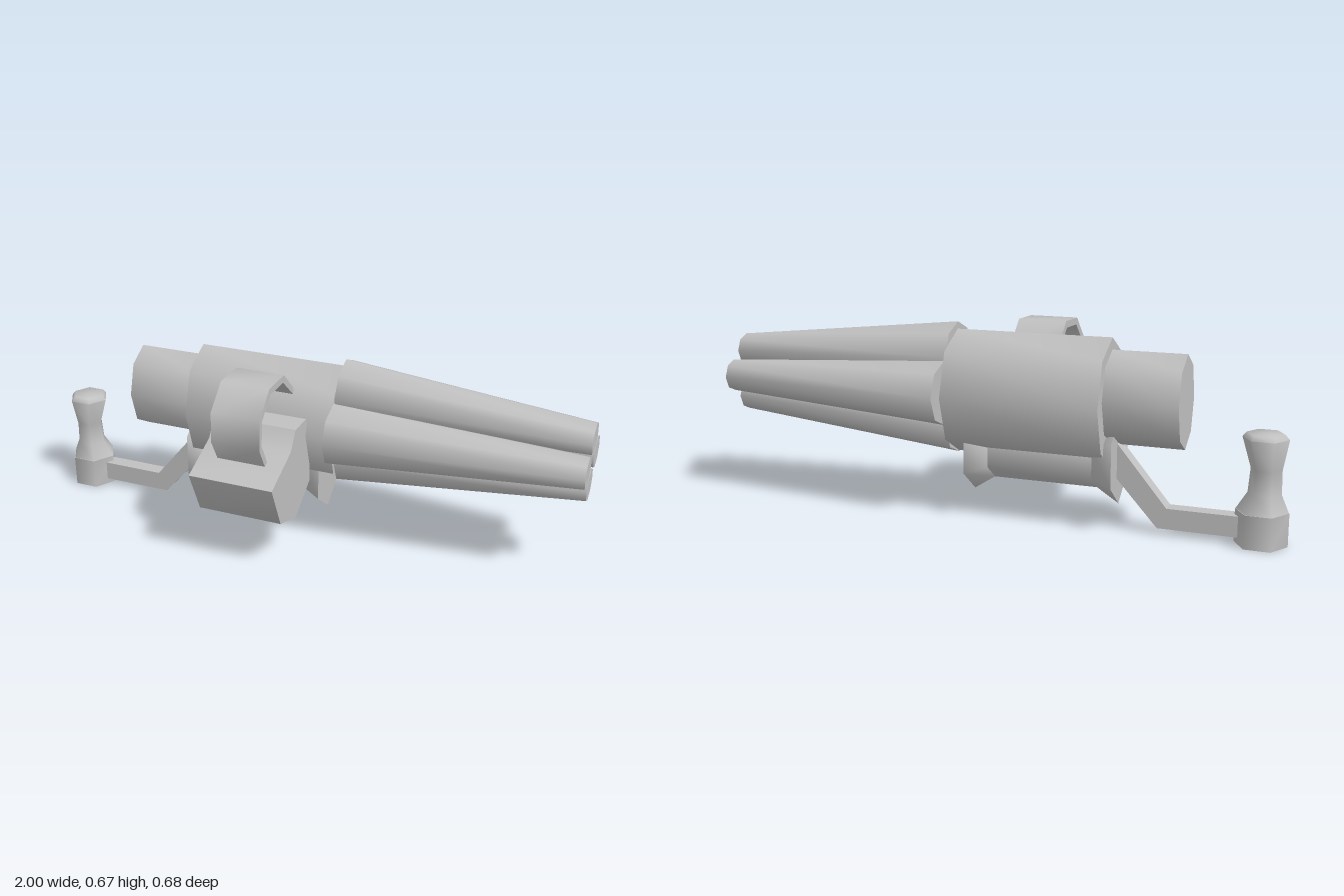
import * as THREE from 'three';
import { toCreasedNormals } from 'three/addons/utils/BufferGeometryUtils.js';

const AXIS_Y = 0.438, AXIS_Z = -0.11;

export function createModel() {
  const model = new THREE.Group();
  const grey = new THREE.MeshStandardMaterial({ color: 0xc0c0c0 });
  grey.name = 'plain grey';

  function add(name, geometry, crease = 1.2) {
    const mesh = new THREE.Mesh(toCreasedNormals(geometry, crease), grey);
    mesh.name = name;
    model.add(mesh);
    return mesh;
  }

  // Prism along x between two elliptical sections {x, y, z, ry, rz}, a corner at the top
  function prism(sides, a, b, open = false) {
    const g = new THREE.CylinderGeometry(1, 1, 1, sides, 1, open, Math.PI / 2).rotateZ(-Math.PI / 2);
    const p = g.attributes.position;
    const mix = THREE.MathUtils.lerp;
    for (let i = 0; i < p.count; i++) {
      const t = p.getX(i) + 0.5;
      p.setXYZ(i, mix(a.x, b.x, t),
        mix(a.y, b.y, t) + p.getY(i) * mix(a.ry, b.ry, t),
        mix(a.z, b.z, t) + p.getZ(i) * mix(a.rz, b.rz, t));
    }
    return g;
  }

  const outline = pts => new THREE.Shape(pts.map(([x, y]) => new THREE.Vector2(x, y)));

  // Outline given in (z, y), extruded along x
  function sidePlate(pts, x0, x1) {
    return new THREE.ExtrudeGeometry(outline(pts), { depth: x1 - x0, bevelEnabled: false })
      .rotateY(-Math.PI / 2).translate(x1, 0, 0);
  }

  // Four tapering barrels leaning towards the axis
  for (let i = 0; i < 4; i++) {
    const dy = Math.round(Math.cos(i * Math.PI / 2)), dz = Math.round(Math.sin(i * Math.PI / 2));
    const ring = (x, offset, r) => ({ x, y: AXIS_Y + dy * offset, z: AXIS_Z + dz * offset, ry: r, rz: r });
    add('barrel', prism(8, ring(0.14, 0.119, 0.11), ring(1, 0.0845, 0.057)));
  }

  // Receiver and the narrower rear block
  const section = (x, y, ry, rz) => ({ x, y, z: AXIS_Z - 0.003, ry, rz });
  add('receiver', prism(8, section(-0.41, 0.428, 0.214, 0.16), section(0.14, 0.428, 0.214, 0.16)));
  add('rearBlock', prism(8, section(-0.66, 0.445, 0.157, 0.112), section(-0.4, 0.445, 0.157, 0.112)));

  // Hexagonal rail below, flaring at both ends
  const rail = (x, ry, rz) => ({ x, y: 0.233, z: AXIS_Z, ry, rz });
  add('rail', prism(6, rail(-0.365, 0.102, 0.08), rail(0.005, 0.102, 0.08), true));
  add('rearFlare', prism(6, rail(-0.44, 0.15, 0.115), rail(-0.365, 0.102, 0.08)));
  add('frontFlare', prism(6, rail(0.005, 0.102, 0.08), rail(0.08, 0.15, 0.115)));

  // Ammunition drum on the left side
  add('drum', sidePlate([
    [0.339, 0.356], [0.268, 0.198], [0.135, 0.154], [0.005, 0.239],
    [0.005, 0.40], [0.04, 0.49], [0.135, 0.49], [0.179, 0.425],
  ], -0.25, 0.053), 0.9);

  // Feed strap curving from the drum to the receiver
  add('strap', sidePlate([
    [0.24, 0.375], [0.292, 0.47], [0.288, 0.577], [0.205, 0.657], [0.083, 0.659], [-0.03, 0.55],
    [-0.03, 0.527], [0.092, 0.635], [0.197, 0.633], [0.266, 0.568], [0.274, 0.481], [0.218, 0.375],
  ], -0.185, -0.01), 1);

  // Bent crank arm
  const arm = outline([
    [-0.88, 0.021], [-0.58, 0.021], [-0.4, 0.22], [-0.4, 0.3], [-0.44, 0.295], [-0.61, 0.091], [-0.88, 0.091],
  ]);
  add('crankArm', new THREE.ExtrudeGeometry(arm, { depth: 0.055, bevelEnabled: false })
    .translate(0, 0, AXIS_Z - 0.0275), 0.5);

  // Crank knob base
  add('knobBase', new THREE.CylinderGeometry(0.086, 0.086, 0.112, 6, 1, false, Math.PI / 2)
    .translate(-0.914, 0.056, AXIS_Z));

  // Waisted hand grip with a slight lean
  const grip = new THREE.LatheGeometry([
    [0.085, 0.11], [0.054, 0.17], [0.05, 0.25], [0.074, 0.35], [0.06, 0.366], [0, 0.366],
  ].map(([r, y]) => new THREE.Vector2(r, y)), 6).rotateY(Math.PI / 2);
  const p = grip.attributes.position;
  for (let i = 0; i < p.count; i++) {
    const y = p.getY(i);
    p.setX(i, p.getX(i) - 0.914 - 0.008 * Math.sin((y - 0.11) / 0.256 * Math.PI));
  }
  add('crankGrip', grip.translate(0, 0, AXIS_Z));

  return model;
}
